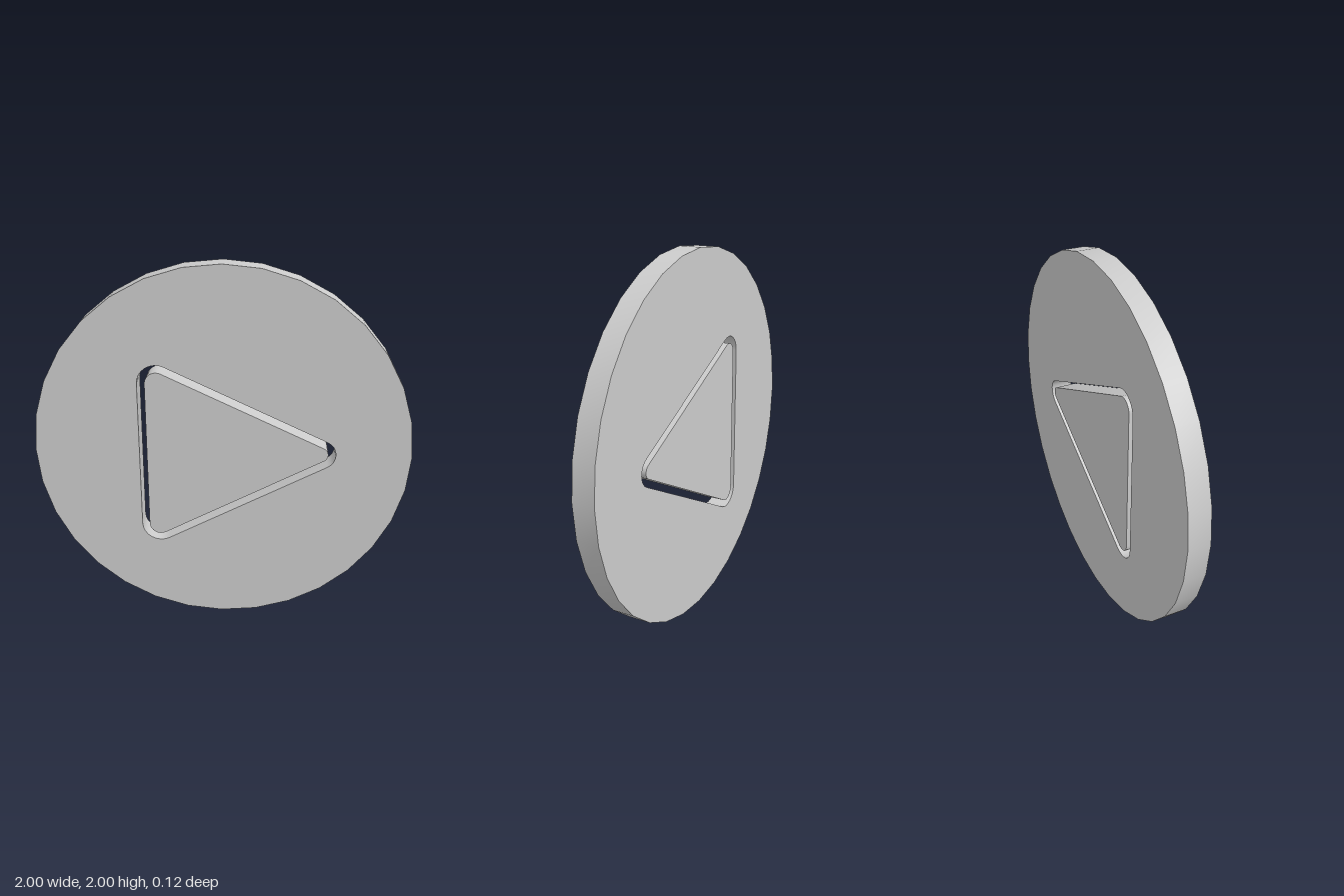
import * as THREE from 'three';
import { toCreasedNormals } from 'three/addons/utils/BufferGeometryUtils.js';

const DEPTH = 0.12, GAP = 0.04, SIDES = 32, ARC_STEPS = 8;

// Corner circles of the triangular cut-out, counter-clockwise: centre x, y, radius
const CORNERS = [[0.523, 1.0, 0.08], [-0.34, 1.38, 0.1], [-0.34, 0.56, 0.1]];

// Rounded triangle outline: an arc round each corner, joined by tangent lines
function roundedTriangle(inset) {
  const n = CORNERS.length;
  // Direction of the outward normal of the edge leaving each corner
  const normals = CORNERS.map(([x, y, r], i) => {
    const [x2, y2, r2] = CORNERS[(i + 1) % n];
    return Math.atan2(y2 - y, x2 - x) - Math.acos((r - r2) / Math.hypot(x2 - x, y2 - y));
  });
  const points = [];
  CORNERS.forEach(([x, y, r], i) => {
    const start = normals[(i + n - 1) % n];
    let sweep = normals[i] - start;
    while (sweep < 0) sweep += Math.PI * 2;
    for (let k = 0; k <= ARC_STEPS; k++) {
      const a = start + sweep * k / ARC_STEPS;
      points.push(new THREE.Vector2(x + (r - inset) * Math.cos(a), y + (r - inset) * Math.sin(a)));
    }
  });
  return points;
}

function plate(name, shape) {
  const extruded = new THREE.ExtrudeGeometry(shape, { depth: DEPTH, bevelEnabled: false });
  extruded.translate(0, 0, -DEPTH / 2);
  const mesh = new THREE.Mesh(
    toCreasedNormals(extruded, 0.6),
    new THREE.MeshStandardMaterial({ color: 0xcccccc })
  );
  mesh.name = name;
  return mesh;
}

export function createModel() {
  const group = new THREE.Group();
  group.name = 'discWithTriangle';

  // Round disc with a triangular opening
  const rim = [];
  for (let i = 0; i < SIDES; i++) {
    const a = i / SIDES * Math.PI * 2;
    rim.push(new THREE.Vector2(Math.cos(a), 1 + Math.sin(a)));
  }
  const disc = new THREE.Shape(rim);
  disc.holes.push(new THREE.Path(roundedTriangle(0)));
  group.add(plate('disc', disc));

  // Triangle sitting loose in the opening, with an even gap around it
  group.add(plate('triangle', new THREE.Shape(roundedTriangle(GAP))));

  return group;
}
